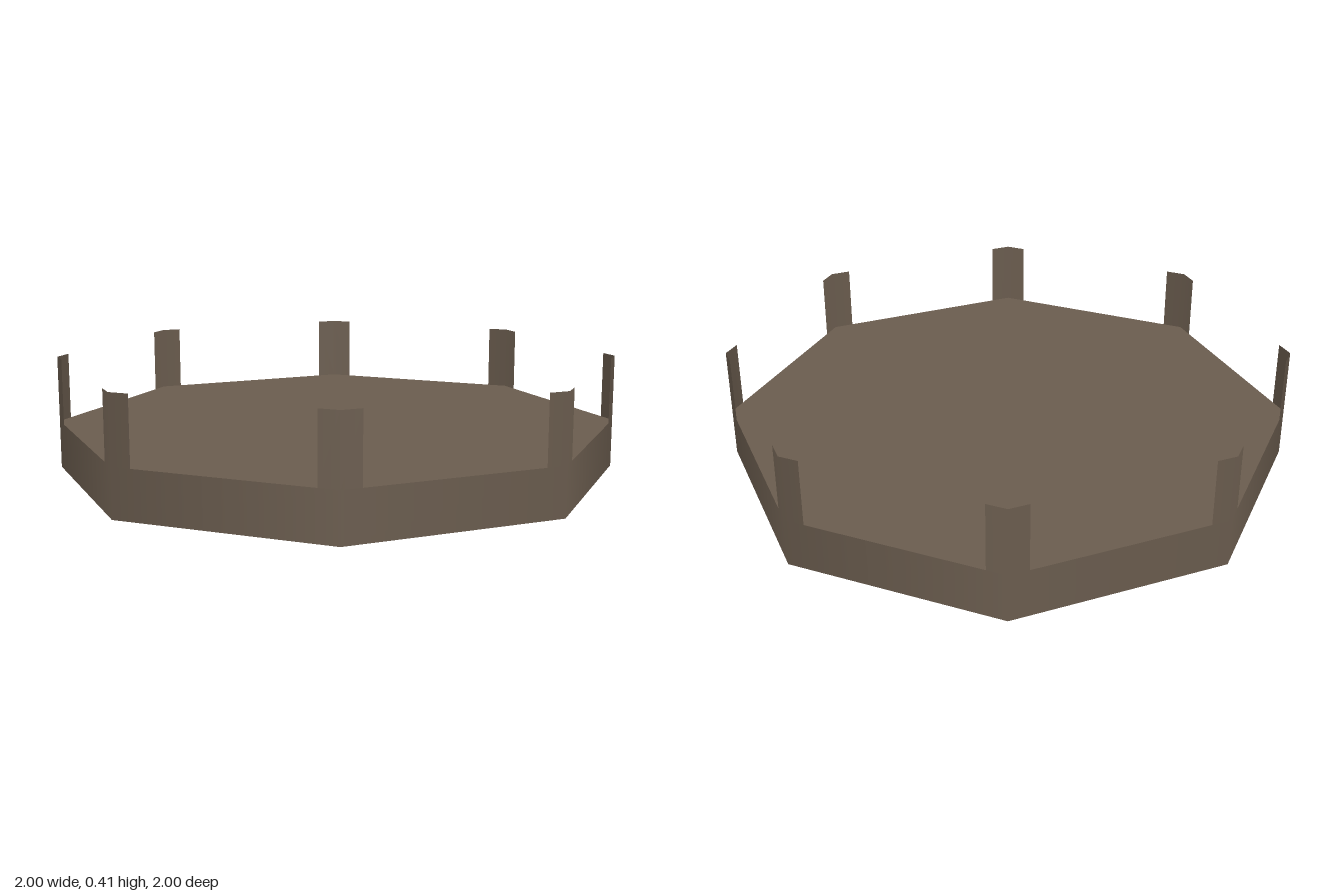
import * as THREE from 'three';

const SIDES = 8, BASE_H = 0.17, TOP = 0.405;

// Point on the octagon rim; corner k lies at angle k * 45 degrees from +z
function corner(k) {
  const a = (k / SIDES) * Math.PI * 2;
  return new THREE.Vector3(Math.sin(a), 0, Math.cos(a));
}

// Thin strip folded around one corner, shaded smoothly with the wall
function postGeometry(k) {
  const reach = 0.093; // share of each edge covered by the post
  const c = corner(k);
  const columns = [
    c.clone().lerp(corner(k - 1), reach),
    c,
    c.clone().lerp(corner(k + 1), reach),
  ];
  const positions = [], normals = [], index = [];
  columns.forEach((p, i) => {
    const n = p.clone().normalize();
    for (const y of [BASE_H, TOP]) {
      positions.push(p.x, y, p.z);
      normals.push(n.x, 0, n.z);
    }
    if (i < 2) {
      const b = i * 2;
      index.push(b, b + 2, b + 3, b, b + 3, b + 1);
    }
  });
  const g = new THREE.BufferGeometry();
  g.setAttribute('position', new THREE.Float32BufferAttribute(positions, 3));
  g.setAttribute('normal', new THREE.Float32BufferAttribute(normals, 3));
  g.setIndex(index);
  return g;
}

export function createModel() {
  const model = new THREE.Group();
  model.name = 'octagonalPlatform';

  const brown = new THREE.MeshStandardMaterial({ color: 0x6a5c4e, side: THREE.DoubleSide });
  brown.name = 'darkBrown';

  // Solid octagonal base with smooth side normals
  const base = new THREE.Mesh(new THREE.CylinderGeometry(1, 1, BASE_H, SIDES), brown);
  base.name = 'base';
  base.position.y = BASE_H / 2;
  model.add(base);

  // One folded post on every corner
  const posts = new THREE.Group();
  posts.name = 'cornerPosts';
  for (let k = 0; k < SIDES; k++) {
    const post = new THREE.Mesh(postGeometry(k), brown);
    post.name = `cornerPost${k + 1}`;
    posts.add(post);
  }
  model.add(posts);

  return model;
}
